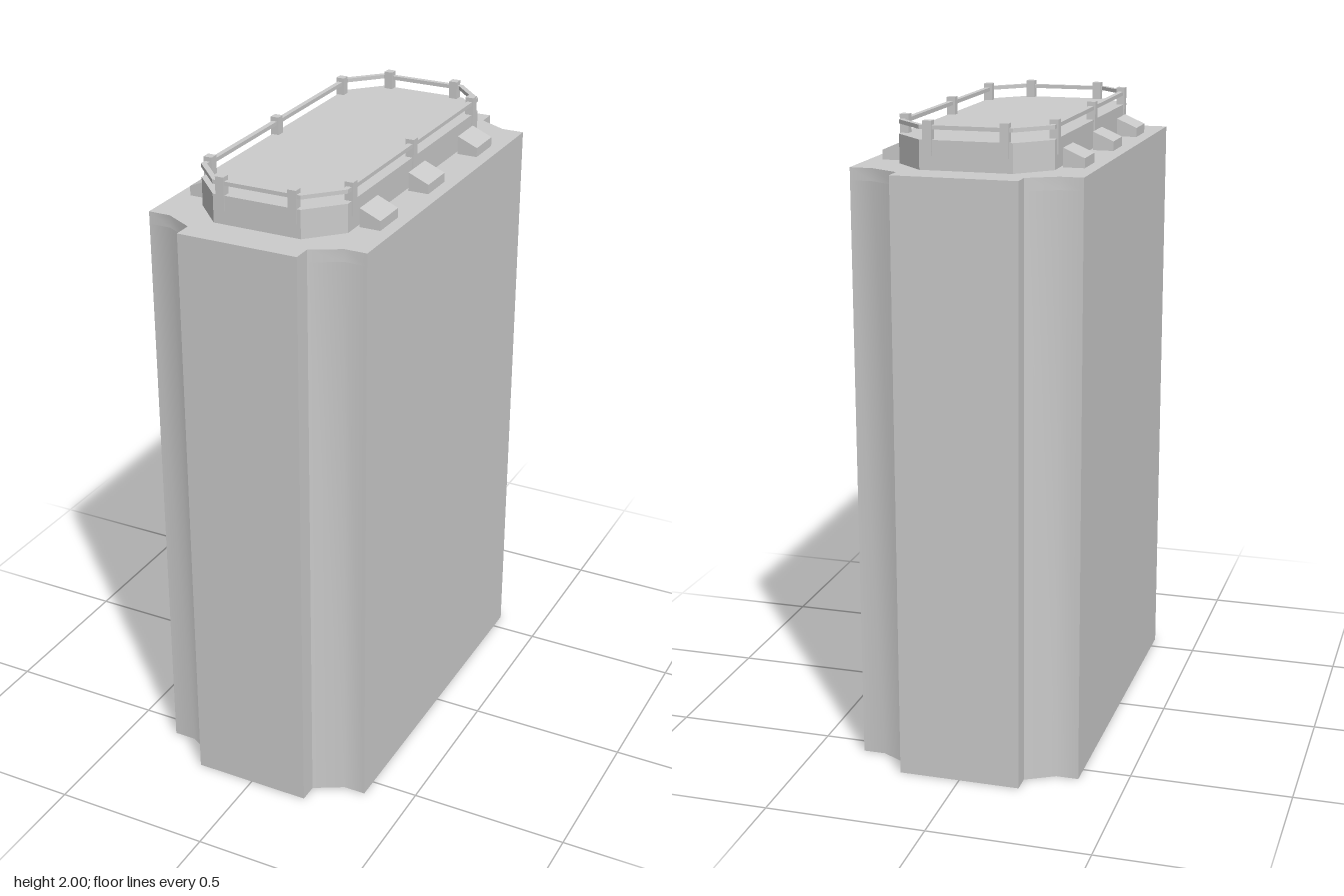
import * as THREE from 'three';
import { toCreasedNormals } from 'three/addons/utils/BufferGeometryUtils.js';

const material = new THREE.MeshStandardMaterial({ color: 0xcccccc });

// Mirror a quarter outline (ordered counter-clockwise from +x to +z) into a full loop
function mirrorOutline(quarter) {
  const flip = (sx, sz) => quarter.map(([x, z]) => [x * sx, z * sz]);
  return [...flip(1, 1), ...flip(-1, 1).reverse(), ...flip(-1, -1), ...flip(1, -1).reverse()]
    .map(([x, z]) => new THREE.Vector2(x, z));
}

// Move every side of a counter-clockwise loop inwards by d, with mitred corners
function inset(loop, d) {
  const n = loop.length;
  const normal = (a, b) => new THREE.Vector2(a.y - b.y, b.x - a.x).normalize();
  return loop.map((p, i) => {
    const n1 = normal(loop[(i + n - 1) % n], p);
    const n2 = normal(p, loop[(i + 1) % n]);
    const mitre = n1.clone().add(n2);
    return mitre.multiplyScalar(d / (1 + n1.dot(n2))).add(p);
  });
}

// Upright prism from y0 to y1, optionally hollow
function prism(name, loop, y0, y1, hole) {
  const shape = new THREE.Shape(loop);
  if (hole) shape.holes.push(new THREE.Path(hole));
  const geometry = new THREE.ExtrudeGeometry(shape, { depth: y1 - y0, bevelEnabled: false });
  geometry.rotateX(-Math.PI / 2).translate(0, y0, 0);
  const mesh = new THREE.Mesh(toCreasedNormals(geometry, 0.6), material);
  mesh.name = name;
  return mesh;
}

export function createModel() {
  const group = new THREE.Group();
  group.name = 'tower';

  // Hollow tower walls with notched corners, closed by a roof slab
  const plan = mirrorOutline([[0.35, 0.565], [0.28, 0.565], [0.19, 0.615], [0.19, 0.674]]);
  group.add(prism('walls', plan, 0, 1.82, inset(plan, 0.04)));
  group.add(prism('roof', plan, 1.82, 1.858));

  // Raised octagonal deck
  const octagon = mirrorOutline([[0.236, 0.455], [0.14, 0.556]]);
  group.add(prism('deck', octagon, 1.858, 1.945));

  // Railing around the deck
  const railing = new THREE.Group();
  railing.name = 'railing';
  railing.add(prism('rail', octagon, 1.975, 1.987, inset(octagon, 0.016)));
  const postGeometry = new THREE.BoxGeometry(0.027, 0.1, 0.027);
  const addPost = (x, z) => {
    const post = new THREE.Mesh(postGeometry, material);
    post.name = 'railPost';
    post.position.set(x, 1.95, z);
    railing.add(post);
  };
  for (const side of [-1, 1]) {
    for (const z of [-0.42, 0.02, 0.42]) addPost(side * 0.227, z);
    for (const z of [-0.547, 0.547]) addPost(side * 0.115, z);
  }
  group.add(railing);

  // Roof vents with sloping tops, three along each side
  const profile = new THREE.Shape([[0.245, 1.858], [0.31, 1.858], [0.31, 1.887], [0.245, 1.915]]
    .map(([x, y]) => new THREE.Vector2(x, y)));
  const ventGeometry = new THREE.ExtrudeGeometry(profile, { depth: 0.116, bevelEnabled: false });
  ventGeometry.translate(0, 0, -0.058);
  for (const side of [-1, 1]) {
    for (const z of [-0.34, 0.02, 0.343]) {
      const vent = new THREE.Mesh(ventGeometry, material);
      vent.name = 'roofVent';
      vent.rotation.y = side > 0 ? 0 : Math.PI;
      vent.position.z = z;
      group.add(vent);
    }
  }
  return group;
}
